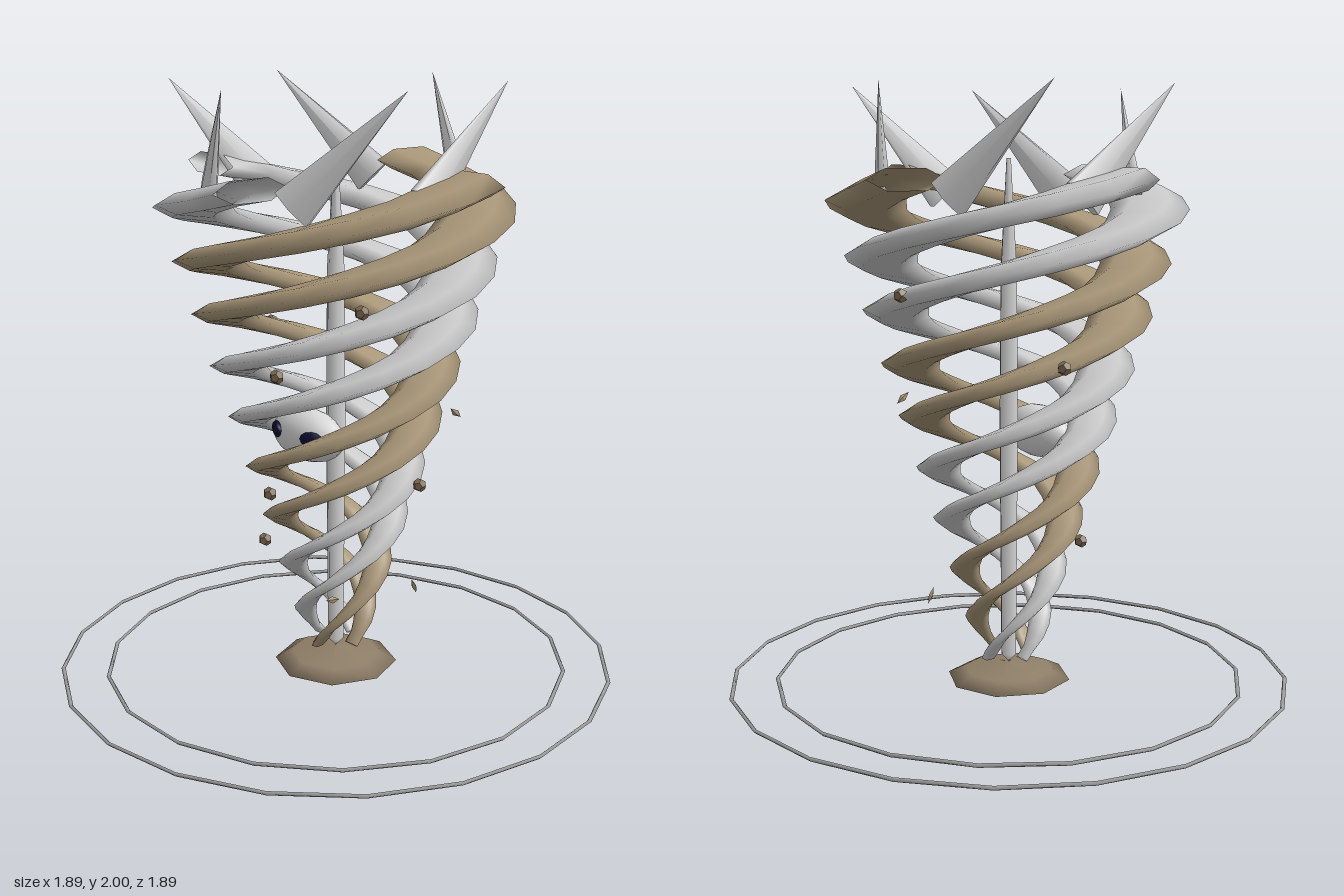
import * as THREE from 'three';

const mat = (name, color, double) => {
  const m = new THREE.MeshStandardMaterial({ color });
  m.name = name;
  if (double) m.side = THREE.DoubleSide;
  return m;
};

// Flattened hexagonal band swept up a widening helix
function ribbonGeometry(startDeg) {
  const pts = [];
  for (let i = 0; i <= 23; i++) {
    const t = i / 23, a = THREE.MathUtils.degToRad(startDeg - 36 * i);
    const r = 0.08 + 0.409 * Math.pow(t, 1.05);
    pts.push(new THREE.Vector3(Math.cos(a) * r, 0.1 + 1.61 * t, Math.sin(a) * r));
  }
  const curve = new THREE.CatmullRomCurve3(pts);
  const steps = 46, sides = 6, pos = [], idx = [];
  const up = new THREE.Vector3(0, 1, 0);
  for (let i = 0; i <= steps; i++) {
    const t = i / steps;
    const p = curve.getPoint(t), tan = curve.getTangent(t);
    const out = new THREE.Vector3().crossVectors(up, tan).normalize();
    if (out.x * p.x + out.z * p.z < 0) out.negate();
    const side = new THREE.Vector3().crossVectors(tan, out).normalize();
    const w = 0.03 + 0.105 * t, h = 0.014 + 0.026 * t;
    for (let j = 0; j < sides; j++) {
      const a = (j / sides) * Math.PI * 2;
      const v = p.clone().addScaledVector(out, Math.cos(a) * w).addScaledVector(side, Math.sin(a) * h);
      pos.push(v.x, v.y, v.z);
      if (i < steps) {
        const k = (j + 1) % sides, a0 = i * sides + j, b0 = i * sides + k;
        idx.push(a0, b0, a0 + sides, b0, b0 + sides, a0 + sides);
      }
    }
  }
  const g = new THREE.BufferGeometry();
  g.setAttribute('position', new THREE.Float32BufferAttribute(pos, 3));
  g.setIndex(idx);
  g.computeVertexNormals();
  return g;
}

export function createModel() {
  const model = new THREE.Group();
  model.name = 'whirlwind';
  const grey = mat('pale grey', 0xc9c9c9, true);
  const tan = mat('dusty tan', 0xa89678, true);
  const white = mat('off white', 0xd8d8d8);
  const stone = mat('brown stone', 0x7d6a52);
  const dust = mat('dust base', 0x8f7f68);
  const navy = mat('dark navy', 0x0c0c30);
  const ringGrey = mat('ring grey', 0xa6a6a6);

  const add = (name, geo, m, x = 0, y = 0, z = 0) => {
    const mesh = new THREE.Mesh(geo, m);
    mesh.name = name;
    mesh.position.set(x, y, z);
    model.add(mesh);
    return mesh;
  };

  // Four intertwined wind bands
  [[90, tan], [0, tan], [180, grey], [270, grey]].forEach(([deg, m]) =>
    add('windBand', ribbonGeometry(deg), m));

  // Central spindle
  const profile = [[0, 0.07], [0.028, 0.1], [0.034, 0.9], [0.03, 1.4], [0.008, 1.77], [0, 1.77]];
  add('core', new THREE.LatheGeometry(profile.map(p => new THREE.Vector2(...p)), 6), white);

  // Crown of six flattened, leaning spikes
  for (let k = 0; k < 6; k++) {
    const spike = new THREE.Group();
    spike.name = 'crownSpike';
    const geo = new THREE.ConeGeometry(0.08, 0.5, 6);
    geo.translate(0, 0.25, 0);
    const cone = new THREE.Mesh(geo, white);
    cone.name = 'spike';
    cone.scale.z = 0.35;
    cone.rotation.z = -Math.PI / 4;
    cone.position.set(-0.15, 1.65, 0);
    spike.add(cone);
    const a = THREE.MathUtils.degToRad(-20 + 60 * k);
    // tip leans along the tangent, slightly outward
    spike.position.set(Math.cos(a) * 0.435, 0, Math.sin(a) * 0.435);
    const lean = THREE.MathUtils.degToRad(-90 + 60 * k);
    spike.rotation.y = -lean;
    model.add(spike);
  }

  // Face inside the funnel
  add('head', new THREE.SphereGeometry(1, 14, 10), white, 0, 0.86, 0.12).scale.set(0.16, 0.088, 0.08);
  for (const s of [-1, 1]) {
    const eye = add('eye', new THREE.SphereGeometry(1, 8, 6), navy, s * 0.087, 0.872, 0.182);
    eye.scale.set(0.042, 0.027, 0.015);
    eye.rotation.y = s * 0.45;
  }

  // Dust mound and ground rings
  const mound = [[0, 0.004], [0.15, 0.006], [0.21, 0.018], [0.15, 0.048], [0, 0.066]];
  add('dustMound', new THREE.LatheGeometry(mound.map(p => new THREE.Vector2(...p)), 8), dust);
  [[0.785, 18], [0.938, 20]].forEach(([r, n]) => {
    add('groundRing', new THREE.TorusGeometry(r, 0.007, 4, n), ringGrey, 0, 0.025, 0).rotation.x = Math.PI / 2;
  });

  // Orbiting pebbles
  [[0.42, 1.36, 0.27], [-0.13, 1.36, -0.48], [0.18, 1.14, 0.4], [-0.43, 1.14, -0.08],
    [0.29, 0.705, -0.11], [0.03, 0.705, 0.31], [-0.11, 0.485, 0.22]].forEach(p =>
    add('pebble', new THREE.DodecahedronGeometry(0.023), stone, ...p));

  // Drifting flakes
  [[0.18, 0.29, -0.2], [0.36, 0.95, -0.2], [0.12, 0.31, 0.12]].forEach((p, i) => {
    const flake = add('flake', new THREE.OctahedronGeometry(0.03), tan, ...p);
    flake.scale.set(0.4, 1, 0.3);
    flake.rotation.set(0.5 * i + 0.4, i, 0);
  });

  return model;
}
